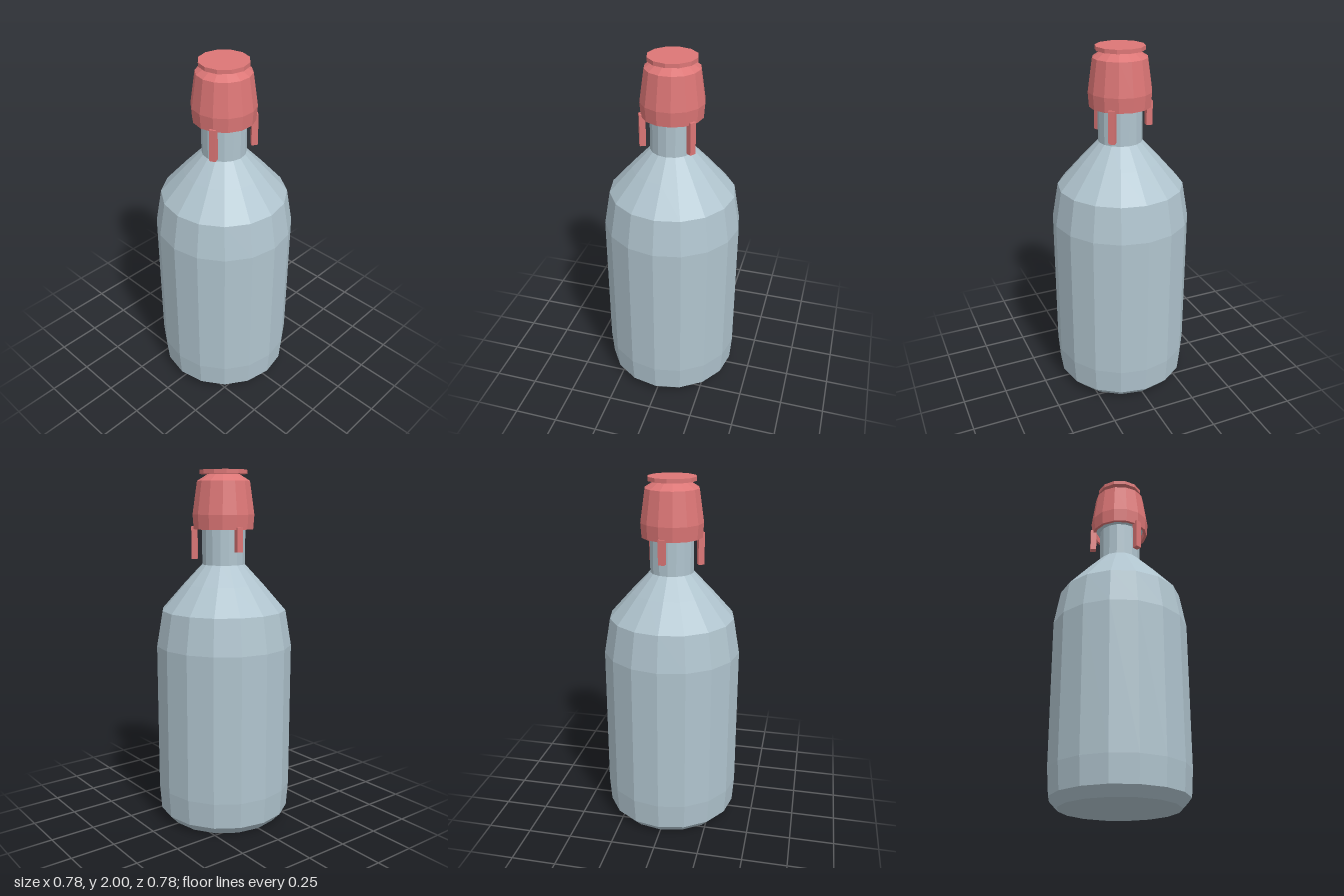
import * as THREE from 'three';

const glass = new THREE.MeshStandardMaterial({ color: 0xb0c4ce, flatShading: true });
glass.name = 'paleGlass';
const red = new THREE.MeshStandardMaterial({ color: 0xdc7676, flatShading: true });
red.name = 'redCap';

// Faceted solid of revolution from [radius, y] points, bottom to top
function turned(name, profile, sides, material, start = 0) {
  const points = profile.map(([r, y]) => new THREE.Vector2(r, y));
  const mesh = new THREE.Mesh(new THREE.LatheGeometry(points, sides, start), material);
  mesh.name = name;
  return mesh;
}

export function createModel() {
  const model = new THREE.Group();
  model.name = 'bottle';

  // Bottle with chamfered foot, sloping shoulder, neck and hidden lip
  model.add(turned('bottleBody', [
    [0, 0], [0.328, 0], [0.377, 0.052], [0.388, 0.2], [0.388, 1.03],
    [0.353, 1.23], [0.225, 1.375], [0.122, 1.485], [0.122, 1.685],
    [0.145, 1.71], [0.145, 1.76], [0.12, 1.78], [0.12, 1.9], [0, 1.9],
  ], 16, glass));

  // Hollow crown-shaped cap, its inner wall first
  model.add(turned('cap', [
    [0.14, 1.9], [0.155, 1.76], [0.152, 1.68], [0.169, 1.68], [0.175, 1.76],
    [0.149, 1.94], [0.085, 1.98], [0, 1.98],
  ], 14, red, Math.PI / 2));

  // Flat disc on top
  model.add(turned('topDisc', [
    [0, 1.978], [0.134, 1.978], [0.134, 2], [0, 2],
  ], 12, red));

  // Three torn tabs hanging from the rim: angle in degrees and lower end
  [[38, 1.515], [155, 1.515], [277, 1.56]].forEach(([degrees, bottom], i) => {
    const height = 1.695 - bottom;
    const angle = THREE.MathUtils.degToRad(degrees);
    const tab = new THREE.Mesh(new THREE.BoxGeometry(0.034, height, 0.035), red);
    tab.name = `capTab${i + 1}`;
    tab.position.set(0.163 * Math.cos(angle), bottom + height / 2, 0.163 * Math.sin(angle));
    tab.rotation.y = -angle;
    model.add(tab);
  });

  return model;
}
